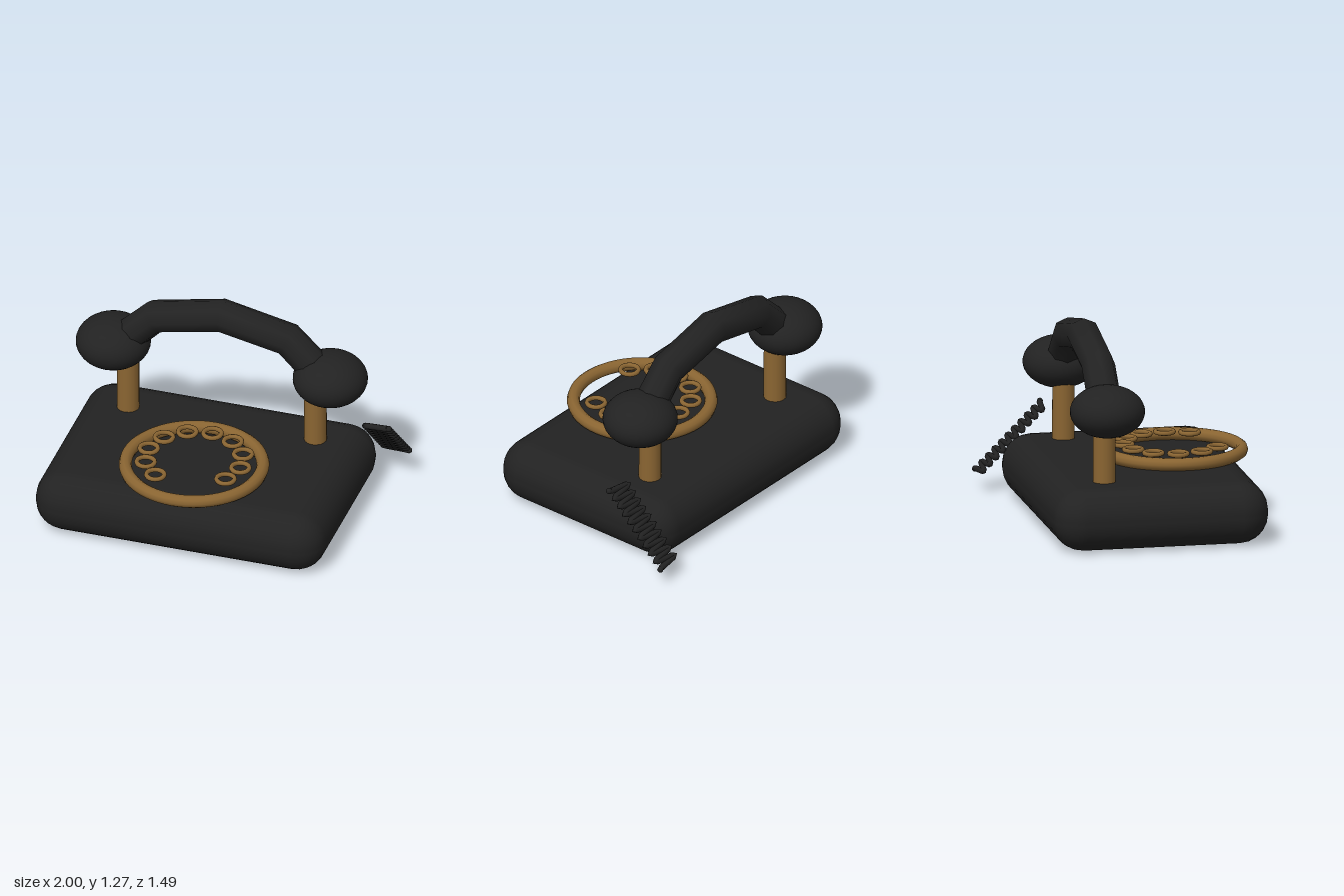
import * as THREE from 'three';
import { RoundedBoxGeometry } from 'three/addons/geometries/RoundedBoxGeometry.js';

const CX = -0.075; // middle of the telephone body
const HZ = -0.27; // depth of the handset

// Straight-sided path whose tube rings sit exactly on the given points
class RingPath extends THREE.Curve {
  constructor(points) {
    super();
    this.points = points;
  }
  getPointAt(u) {
    return this.points[Math.round(u * (this.points.length - 1))].clone();
  }
  getTangentAt(u) {
    const n = this.points.length - 1;
    const i = Math.round(u * n);
    const into = this.points[Math.max(i, 1)].clone().sub(this.points[Math.max(i, 1) - 1]).normalize();
    const j = Math.min(i, n - 1);
    const out = this.points[j + 1].clone().sub(this.points[j]).normalize();
    return into.add(out).normalize();
  }
}

// Cord zigzag lying in a sloping plane
class CordPath extends THREE.Curve {
  getPoint(t, target = new THREE.Vector3()) {
    return target.set(0.9 + 0.08 * Math.cos(t * 20 * Math.PI), 0.52 - 0.405 * t, -0.32 - 0.405 * t);
  }
}

export function createModel() {
  const model = new THREE.Group();
  model.name = 'rotaryTelephone';
  const black = new THREE.MeshStandardMaterial({ color: 0x222222 });
  black.name = 'black';
  const brass = new THREE.MeshStandardMaterial({ color: 0x8a6532 });
  brass.name = 'brass';

  const add = (name, geometry, material, x = 0, y = 0, z = 0) => {
    const mesh = new THREE.Mesh(geometry, material);
    mesh.name = name;
    mesh.position.set(x, y, z);
    model.add(mesh);
    return mesh;
  };

  // Body
  add('body', new RoundedBoxGeometry(1.85, 0.39, 1.34, 3, 0.185), black, CX, 0.195, 0.05);

  // Cradle posts and handset cups
  const post = new THREE.CylinderGeometry(0.068, 0.07, 0.5, 16);
  const cup = new THREE.SphereGeometry(0.23, 32, 20);
  cup.scale(1, 0.7, 1);
  for (const [side, s] of [['left', 1], ['right', -1]]) {
    add(side + 'Post', post, brass, CX + s * 0.6, 0.6, HZ);
    add(side + 'Cup', cup, black, CX + s * 0.695, 0.85, HZ);
  }

  // Handset grip
  const grip = new RingPath([[-0.64, 0.865], [-0.425, 1.08], [0, 1.17], [0.425, 1.08], [0.64, 0.865]]
    .map(([x, y]) => new THREE.Vector3(CX + x, y, HZ)));
  add('handsetGrip', new THREE.TubeGeometry(grip, 4, 0.105, 8), black);

  // Dial rim
  const rim = new THREE.TorusGeometry(0.42, 0.04, 10, 64);
  rim.rotateX(Math.PI / 2);
  add('dialRim', rim, brass, CX, 0.43, 0.285);

  // Ten finger rings
  const ring = new THREE.TorusGeometry(0.055, 0.015, 8, 24);
  ring.rotateX(Math.PI / 2);
  for (let i = 0; i < 10; i++) {
    const a = THREE.MathUtils.degToRad(33 - i * 29.8);
    add('fingerRing' + (i + 1), ring, brass, CX + 0.3 * Math.cos(a), 0.47, 0.28 + 0.3 * Math.sin(a));
  }

  // Coiled cord with closed ends
  const cord = new CordPath();
  add('cord', new THREE.TubeGeometry(cord, 200, 0.019, 8), black);
  const end = new THREE.SphereGeometry(0.019, 8, 6);
  for (const t of [0, 1]) {
    const p = cord.getPoint(t);
    add('cordEnd', end, black, p.x, p.y, p.z);
  }
  return model;
}
